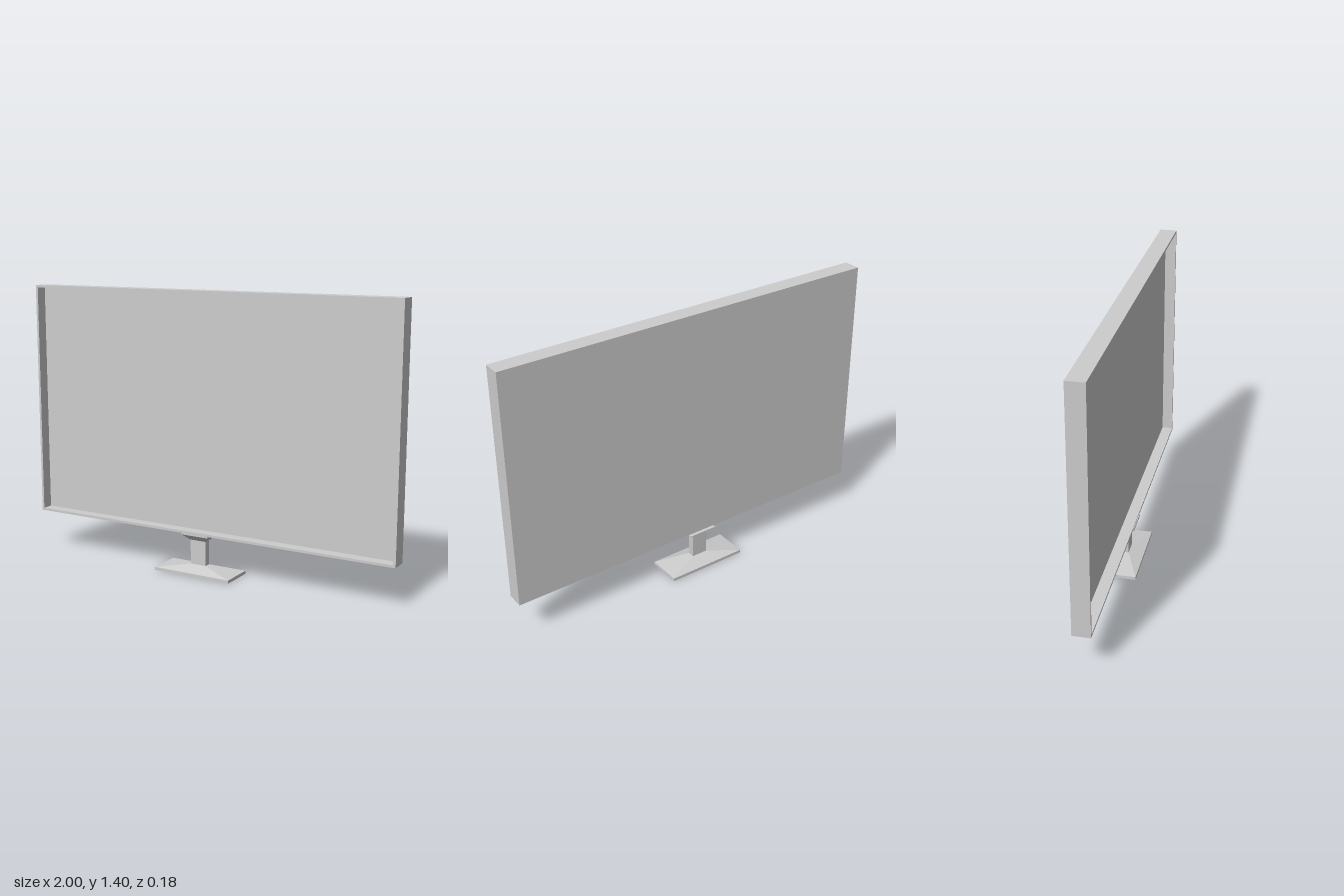
import * as THREE from 'three';

const STAND_X = -0.045;

export function createModel() {
  const group = new THREE.Group();
  group.name = 'monitor';
  const grey = new THREE.MeshStandardMaterial({ color: 0xcccccc });
  grey.name = 'light grey';

  function add(name, geometry, x, y, z) {
    const mesh = new THREE.Mesh(geometry, grey);
    mesh.name = name;
    mesh.position.set(x, y, z);
    group.add(mesh);
  }

  // Box between two rectangles [width, depth, height, slope along z]
  function loft(bottom, top) {
    const g = new THREE.BoxGeometry(1, 1, 1);
    const p = g.attributes.position;
    for (let i = 0; i < p.count; i++) {
      const [w, d, y, slope = 0] = p.getY(i) > 0 ? top : bottom;
      const z = p.getZ(i) * d;
      p.setXYZ(i, p.getX(i) * w, y + slope * z, z);
    }
    g.computeVertexNormals();
    return g;
  }

  // Open-fronted bezel around the recessed screen
  const w = 2, h = 1.2, rim = 0.012, recess = 0.057, back = 0.03;
  const outline = (x, y) => [[-x, -y], [x, -y], [x, y], [-x, y]].map(([a, b]) => new THREE.Vector2(a, b));
  const shape = new THREE.Shape(outline(w / 2, h / 2));
  shape.holes.push(new THREE.Path(outline(w / 2 - rim, h / 2 - rim).reverse()));
  const bezel = new THREE.ExtrudeGeometry(shape, { depth: recess, bevelEnabled: false });
  const midY = 0.204 + h / 2;
  add('bezel', bezel, 0, midY, -0.009);
  add('screenAndBack', new THREE.BoxGeometry(w, h, back), 0, midY, -0.009 - back / 2);

  // Stand: foot slab, sloped foot top, post, and slightly tilted collar
  add('footSlab', loft([0.424, 0.176, 0], [0.424, 0.176, 0.016]), STAND_X, 0, 0);
  add('footSlope', loft([0.424, 0.176, 0.016], [0.085, 0.034, 0.042]), STAND_X, 0, 0);
  add('post', loft([0.085, 0.034, 0.04], [0.085, 0.034, 0.168]), STAND_X, 0, 0);
  add('collar', loft([0.085, 0.034, 0.167], [0.152, 0.1, 0.195, 0.05]), STAND_X, 0, 0.002);
  add('collarPlate', loft([0.152, 0.1, 0.195, 0.05], [0.152, 0.1, 0.203, 0.12]), STAND_X, 0, 0.002);

  return group;
}
